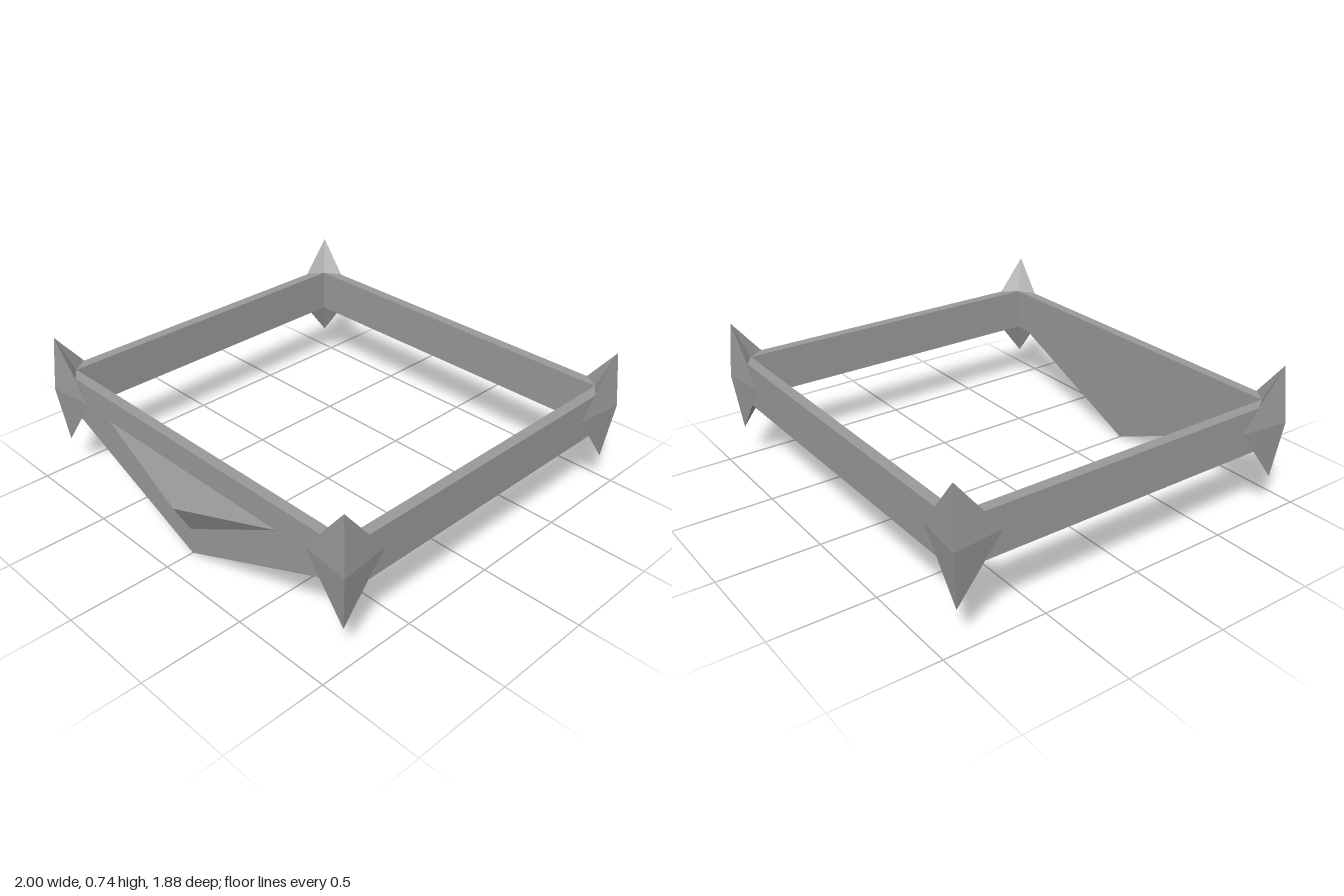
import * as THREE from 'three';

const material = new THREE.MeshStandardMaterial({ color: 0x9a9a9a, flatShading: true });

// Frame dimensions
const X = 0.97, FRONT = 0.855, BACK = -0.912, WALL = 0.053;
const BOTTOM = 0.348, TOP = 0.567, MIDDLE = 0.46;

// Faceted solid from named corners and triangles such as 'a b c'
function faceted(name, corners, faces, flip = false) {
  const positions = [];
  for (const face of faces) {
    const keys = face.split(' ');
    if (flip) keys.reverse();
    keys.forEach((k) => positions.push(...corners[k]));
  }
  const geometry = new THREE.BufferGeometry();
  geometry.setAttribute('position', new THREE.Float32BufferAttribute(positions, 3));
  geometry.computeVertexNormals();
  const mesh = new THREE.Mesh(geometry, material);
  mesh.name = name;
  return mesh;
}

function outline(points) {
  return points.map(([x, y]) => new THREE.Vector2(x, y));
}

// Rectangular band, drawn in plan and extruded upward
function makeFrame() {
  const rect = (inset) => outline([
    [-X + inset, -FRONT + inset], [X - inset, -FRONT + inset],
    [X - inset, -BACK - inset], [-X + inset, -BACK - inset],
  ]);
  const shape = new THREE.Shape(rect(0));
  shape.holes.push(new THREE.Path(rect(WALL)));
  const geometry = new THREE.ExtrudeGeometry(shape, { depth: TOP - BOTTOM, bevelEnabled: false });
  geometry.rotateX(-Math.PI / 2).translate(0, BOTTOM, 0);
  const mesh = new THREE.Mesh(geometry, material);
  mesh.name = 'frame';
  return mesh;
}

// Pointed plate hanging under the front bar
function makeFrontPlate() {
  const shape = new THREE.Shape(outline([[-0.82, BOTTOM], [0, 0], [0.82, BOTTOM]]));
  const geometry = new THREE.ExtrudeGeometry(shape, { depth: WALL, bevelEnabled: false });
  geometry.translate(0, 0, FRONT - WALL);
  const mesh = new THREE.Mesh(geometry, material);
  mesh.name = 'frontPlate';
  return mesh;
}

// Corner guard: spikes up and down, with a wing along each adjoining bar
function makeCorner(name, sx, sz) {
  const edge = sz > 0 ? FRONT : -BACK;
  const p = (dx, y, dz) => [sx * (X + dx), y, sz * (edge + dz)];
  const corners = {
    outer: p(0.03, MIDDLE, 0.03),
    top: p(0.005, 0.74, 0.01),
    bottom: p(-0.003, 0.175, 0),
    wingX: p(-0.22, MIDDLE, 0.001),
    wingZ: p(0.001, MIDDLE, -0.22),
    innerTop: p(-WALL, TOP, -WALL),
    innerBottom: p(-WALL, BOTTOM, -WALL),
  };
  return faceted(name, corners, [
    'outer top wingX', 'outer wingZ top', 'outer wingX bottom', 'outer bottom wingZ',
    'top innerTop wingX', 'top wingZ innerTop',
    'bottom wingX innerBottom', 'bottom innerBottom wingZ',
    'innerTop innerBottom wingX', 'innerTop wingZ innerBottom',
  ], sx * sz < 0);
}

export function createModel() {
  const model = new THREE.Group();
  model.name = 'spikedFrame';
  model.add(makeFrame(), makeFrontPlate());

  // Raised triangular boss on the front
  model.add(faceted('frontBoss', {
    left: [0.58, 0.445, FRONT],
    right: [-0.58, 0.445, FRONT],
    low: [0, 0.135, FRONT],
    peak: [0, 0.29, 0.94],
  }, ['right peak left', 'right low peak', 'left peak low']));

  for (const [side, sx] of [['Left', 1], ['Right', -1]]) {
    model.add(makeCorner('front' + side + 'Corner', sx, 1));
    model.add(makeCorner('back' + side + 'Corner', sx, -1));
  }
  return model;
}
